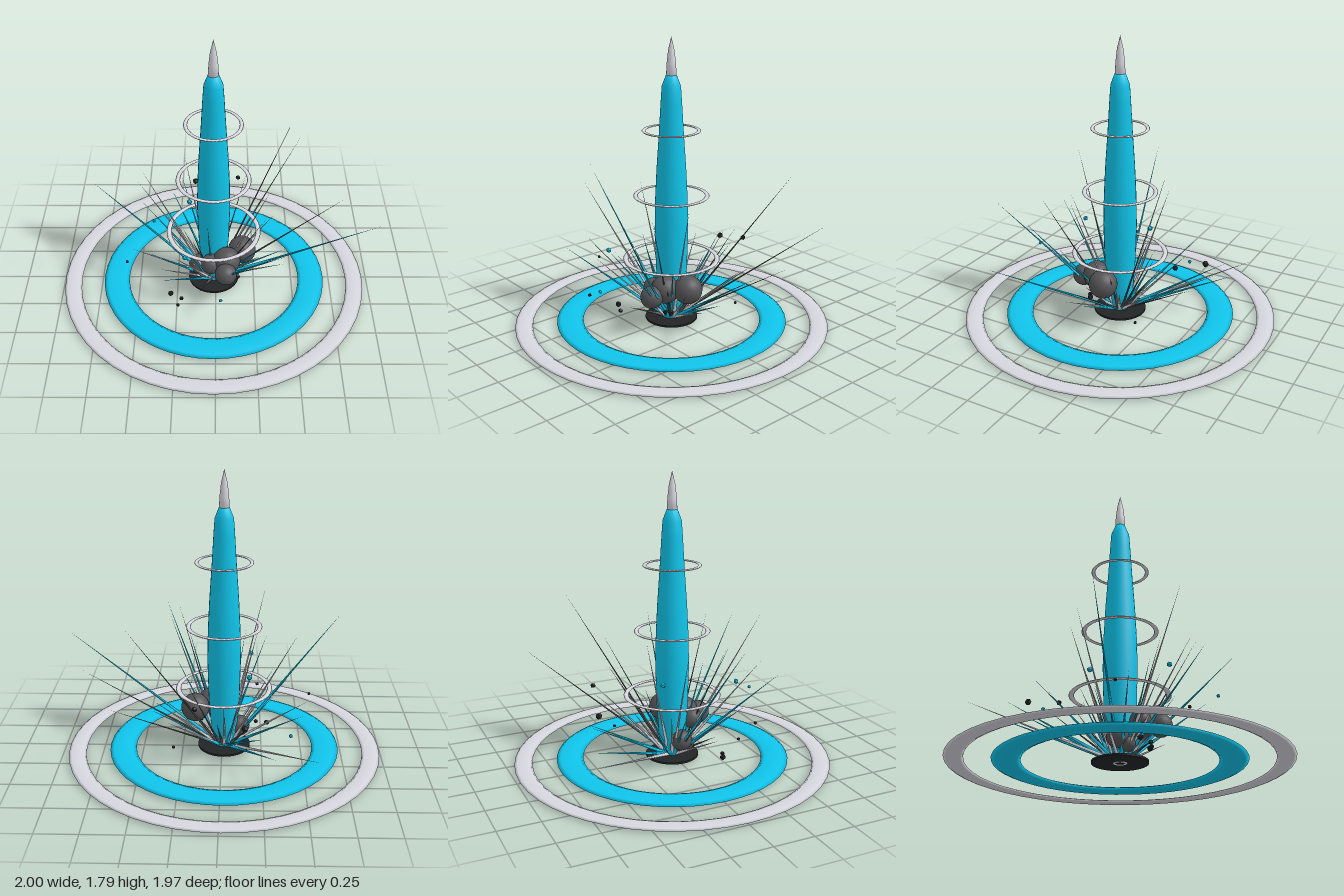
import * as THREE from 'three';

const mat = (color, flatShading = false) => new THREE.MeshStandardMaterial({ color, flatShading });
const BLUE = 0x10c4ea, PALE = 0xd6d6de, SMOKE = 0x555557, DARK = 0x222426;
const CX = -0.013; // axis of the column

export function createModel() {
  const group = new THREE.Group();
  const add = (name, geometry, material, x = 0, y = 0, z = 0) => {
    const mesh = new THREE.Mesh(geometry, material);
    mesh.name = name;
    mesh.position.set(x, y, z);
    group.add(mesh);
    return mesh;
  };
  const lathe = (pts, sides) =>
    new THREE.LatheGeometry(pts.map(([r, y]) => new THREE.Vector2(r, y)), sides);

  // Flattened torus lying level
  const ring = (name, radius, tube, y, halfHeight, color) => {
    const g = new THREE.TorusGeometry(radius, tube, 8, 48);
    g.rotateX(Math.PI / 2);
    g.scale(1, halfHeight / tube, 1);
    add(name, g, mat(color), CX, y, 0);
  };
  ring('outerShockRing', 0.93, 0.055, 0.009, 0.009, PALE);
  ring('innerShockRing', 0.642, 0.083, 0.015, 0.013, BLUE);
  ring('lowerHalo', 0.285, 0.016, 0.413, 0.005, PALE);
  ring('middleHalo', 0.219, 0.014, 0.823, 0.005, PALE);
  ring('upperHalo', 0.166, 0.012, 1.23, 0.005, PALE);

  // Column and its pale tip
  add('column', lathe([[0, 0.025], [0.06, 0.025], [0.083, 0.15], [0.097, 0.35], [0.104, 0.6],
    [0.1, 0.8], [0.09, 1.0], [0.076, 1.2], [0.064, 1.4], [0.057, 1.5], [0.032, 1.565], [0, 1.565]], 24),
  mat(BLUE), CX);
  add('columnTip', lathe([[0, 1.55], [0.031, 1.56], [0.028, 1.63], [0.019, 1.71], [0, 1.79]], 16),
    mat(PALE), CX);

  // Scorched disc with a pale ring under it
  add('scorchDisc', new THREE.CylinderGeometry(0.165, 0.165, 0.012, 32), mat(DARK), CX, 0.018);
  ring('coreRing', 0.034, 0.008, 0.012, 0.006, PALE);

  // Smoke puffs
  const puffs = [[0.17, 0.265, 0.02, 0.09], [0.07, 0.26, 0.12, 0.088], [0.065, 0.235, 0.22, 0.07],
    [-0.03, 0.24, 0.13, 0.065], [-0.11, 0.14, 0.02, 0.065], [-0.08, 0.1, 0.07, 0.045]];
  for (const [x, y, z, r] of puffs) {
    add('smokePuff', new THREE.SphereGeometry(r, 20, 14), mat(SMOKE), x, y, z);
  }

  // Thin cones running from the base out to a tip
  const up = new THREE.Vector3(0, 1, 0);
  const spike = (name, x, y, z, radius, material) => {
    const tip = new THREE.Vector3(x, y, z);
    const out = new THREE.Vector3(x - CX, 0, z).setLength(0.045);
    const base = new THREE.Vector3(CX, 0.03, 0).add(out);
    const dir = tip.clone().sub(base);
    const g = new THREE.ConeGeometry(radius, dir.length(), 6);
    const mesh = add(name, g, material);
    mesh.position.copy(base).addScaledVector(dir, 0.5);
    mesh.quaternion.setFromUnitVectors(up, dir.normalize());
  };
  const blueTips = [[-0.74, 0.88, 0.1], [1.0, 0.68, 0.27], [-0.32, 0.26, -0.64], [-0.24, 0.38, -0.62],
    [-0.1, 0.35, -0.6], [-0.49, 0.38, -0.32], [-0.3, 0.55, 0.6], [0.24, 0.6, 0.55],
    [0.39, 0.77, 0.64], [0.45, 0.25, 0.0], [-0.43, 0.4, 0.2], [0.3, 0.5, 0.25], [-0.05, 0.62, 0.2]];
  const paleTips = [[-0.57, 0.28, -0.7], [-0.28, 0.94, 0.46], [-0.46, 0.81, -0.1], [-0.2, 0.83, -0.25],
    [0.33, 0.85, 0.15], [-0.55, 0.3, 0.05], [0.44, 0.24, 0.13], [0.41, 0.41, -0.2],
    [0.32, 0.37, -0.4], [-0.02, 0.5, -0.46], [-0.34, 0.4, 0.35], [-0.24, 0.63, 0.5]];
  const darkTips = [[0.6, 0.63, -0.76], [0.53, 0.99, -0.5], [0.29, 0.83, 0.39], [0.85, 0.58, -0.13],
    [-0.15, 0.7, 0.3], [0.2, 0.6, -0.35]];
  blueTips.forEach(t => spike('blueSpike', ...t, 0.012, mat(BLUE)));
  paleTips.forEach(t => spike('paleSpike', ...t, 0.011, mat(PALE)));
  darkTips.forEach(t => spike('darkSpike', ...t, 0.008, mat(SMOKE)));

  // Short splinters all round the foot
  let seed = 7;
  const rand = () => (seed = (seed * 16807) % 2147483647) / 2147483647;
  for (let i = 0; i < 18; i++) {
    const a = (i + rand() * 0.7) * Math.PI / 9, r = 0.18 + rand() * 0.14;
    spike('splinter', CX + r * Math.cos(a), 0.1 + rand() * 0.3, r * Math.sin(a), 0.012,
      mat([BLUE, PALE, SMOKE][i % 3]));
  }

  // Flying debris
  const debris = (name, list, color) => {
    for (const [x, y, z, r] of list) {
      add(name, new THREE.DodecahedronGeometry(r), mat(color, true), x, y, z).rotation.set(x * 9, y * 9, z * 9);
    }
  };
  debris('darkDebris', [[-0.14, 0.4, -0.53, 0.02], [0.15, 0.485, -0.46, 0.016], [0.29, 0.135, -0.27, 0.01],
    [-0.56, 0.295, 0.17, 0.01], [-0.29, 0.06, 0.215, 0.018], [-0.22, 0.05, 0.25, 0.014],
    [-0.23, 0.22, 0.475, 0.011], [0.14, 0.13, 0.13, 0.018], [0.11, 0.13, 0.15, 0.014]], DARK);
  debris('blueDebris', [[-0.42, 0.235, -0.3, 0.012], [-0.185, 0.5, 0.355, 0.016],
    [0.03, 0.36, 0.575, 0.011], [-0.17, 0.54, -0.13, 0.017]], BLUE);

  return group;
}
